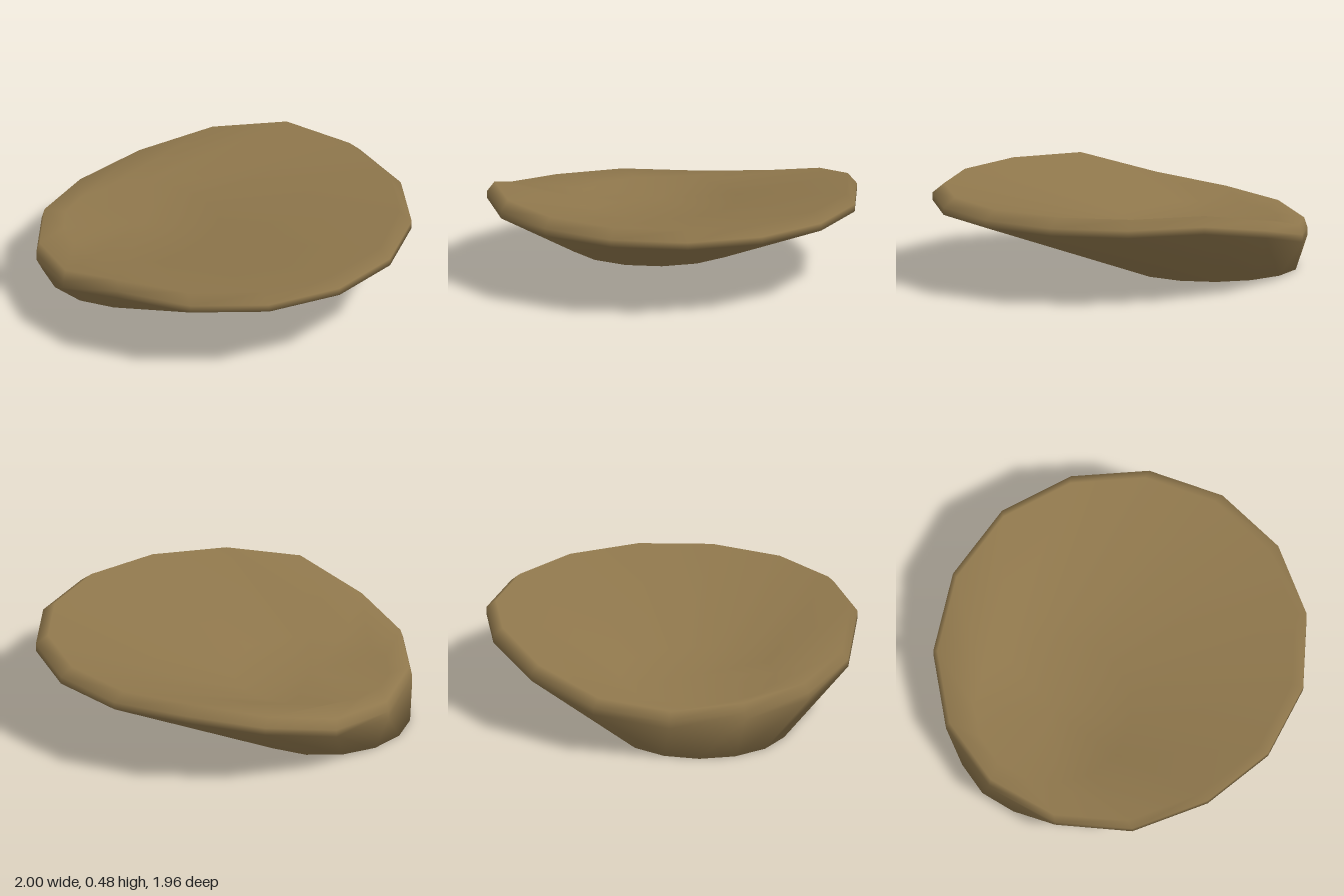
import * as THREE from 'three';

const SIDES = 15;

// How far the rim sinks toward the low end of the dish, a little more at the back
function rimDrop(x, z) {
  const drop = x > -0.2 ? 0 : x > -0.6 ? 0.3 * (-0.2 - x) : 0.12 + 0.175 * (-0.6 - x);
  return z < -0.2 ? drop * 1.15 : drop;
}

// Cross-sections from foot, up the outside, over the lip and down to the floor
const SECTIONS = [
  { cx: -0.54, rx: 0.462, rz: 0.465, y: 0 },
  { cx: 0, rx: 1.005, rz: 0.989, y: 0.39, rim: true },
  { cx: 0, rx: 1.005, rz: 0.989, y: 0.43, rim: true },
  { cx: -0.025, rx: 0.965, rz: 0.945, y: 0.48, rim: true },
  { cx: -0.47, rx: 0.42, rz: 0.42, y: 0.267 },
];

function dishGeometry() {
  const positions = [];
  const index = [];
  for (const s of SECTIONS) {
    for (let i = 0; i < SIDES; i++) {
      const a = (i / SIDES) * Math.PI * 2;
      const x = s.cx + s.rx * Math.sin(a);
      const z = 0.005 - s.rz * Math.cos(a);
      positions.push(x, s.y - (s.rim ? rimDrop(x, z) : 0), z);
    }
  }
  const footCentre = positions.length / 3;
  const floorCentre = footCentre + 1;
  positions.push(-0.54, 0, 0, -0.47, 0.267, 0);

  const last = (SECTIONS.length - 1) * SIDES;
  for (let i = 0; i < SIDES; i++) {
    const j = (i + 1) % SIDES;
    index.push(footCentre, i, j);
    for (let r = 0; r < last; r += SIDES) {
      const p0 = r + i, p1 = r + j, q0 = p0 + SIDES, q1 = p1 + SIDES;
      index.push(p0, q0, p1, p1, q0, q1);
    }
    index.push(last + i, floorCentre, last + j);
  }

  const geometry = new THREE.BufferGeometry();
  geometry.setAttribute('position', new THREE.Float32BufferAttribute(positions, 3));
  geometry.setIndex(index);
  geometry.computeVertexNormals();
  return geometry;
}

export function createModel() {
  const clay = new THREE.MeshStandardMaterial({ color: 0x8f774c });
  clay.name = 'brown clay';

  const dish = new THREE.Mesh(dishGeometry(), clay);
  dish.name = 'dish';

  const group = new THREE.Group();
  group.name = 'tilted dish';
  group.add(dish);
  return group;
}
